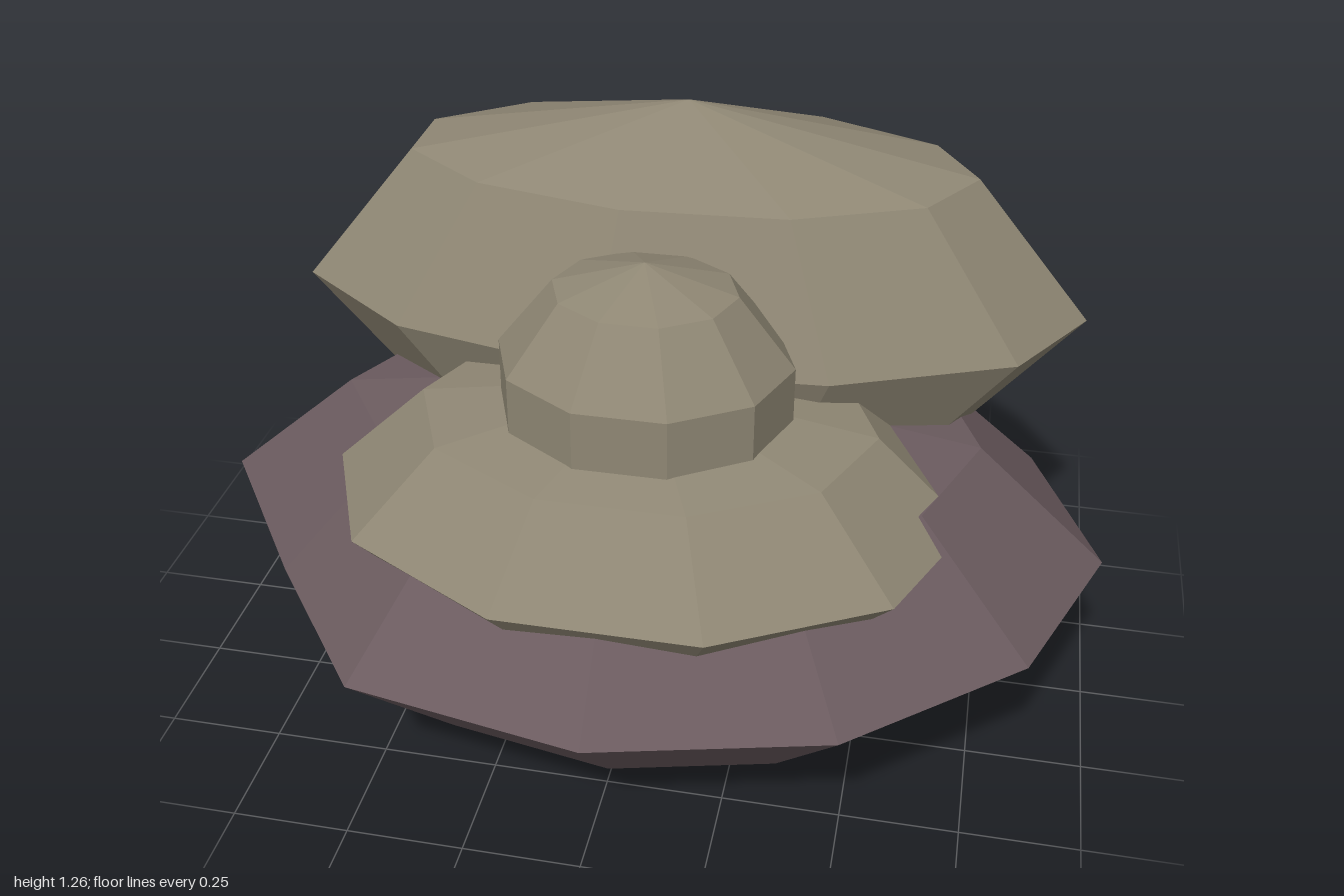
import * as THREE from 'three';

// Faceted boulder: a coarse sphere whose first column of corners lies on +x
function boulder(name, material, sides, rows, radii, centre) {
  const geometry = new THREE.SphereGeometry(1, sides, rows, Math.PI);
  geometry.scale(...radii);
  const mesh = new THREE.Mesh(geometry, material);
  mesh.name = name;
  mesh.position.set(...centre);
  return mesh;
}

export function createModel() {
  const group = new THREE.Group();
  group.name = 'rockPile';

  const darkStone = new THREE.MeshStandardMaterial({ color: 0x6b5b5f, flatShading: true });
  darkStone.name = 'dark stone';
  const paleStone = new THREE.MeshStandardMaterial({ color: 0x8f8774, flatShading: true });
  paleStone.name = 'pale stone';

  // Wide base rock with an uneven outline (x, z of each corner, from +x towards the back)
  const outline = [
    [1, 0], [0.84, -0.39], [0.53, -0.72], [0.02, -0.81], [-0.43, -0.64], [-0.81, -0.38],
    [-1, 0], [-0.74, 0.38], [-0.48, 0.72], [0.02, 0.81], [0.5, 0.69], [0.85, 0.39],
  ];
  const base = boulder('baseRock', darkStone, 12, 4, [1, 0.37, 1], [0.02, 0.37, 0]);
  const p = base.geometry.attributes.position;
  for (let i = 0; i < p.count; i++) {
    const r = Math.hypot(p.getX(i), p.getZ(i));
    const [x, z] = outline[i % 13 % 12];
    p.setX(i, r * (x - 0.02));
    p.setZ(i, r * z);
  }
  base.geometry.computeVertexNormals();

  group.add(
    base,
    // Long rock lying across the back
    boulder('backRock', paleStone, 11, 4, [0.885, 0.44, 0.425], [0.025, 0.825, -0.255]),
    // Flat rock at the front with a small round one on top
    boulder('frontRock', paleStone, 10, 4, [0.68, 0.27, 0.515], [0.025, 0.565, 0.2]),
    boulder('topRock', paleStone, 10, 5, [0.322, 0.3, 0.276], [0.025, 0.81, 0.21]),
  );
  return group;
}
